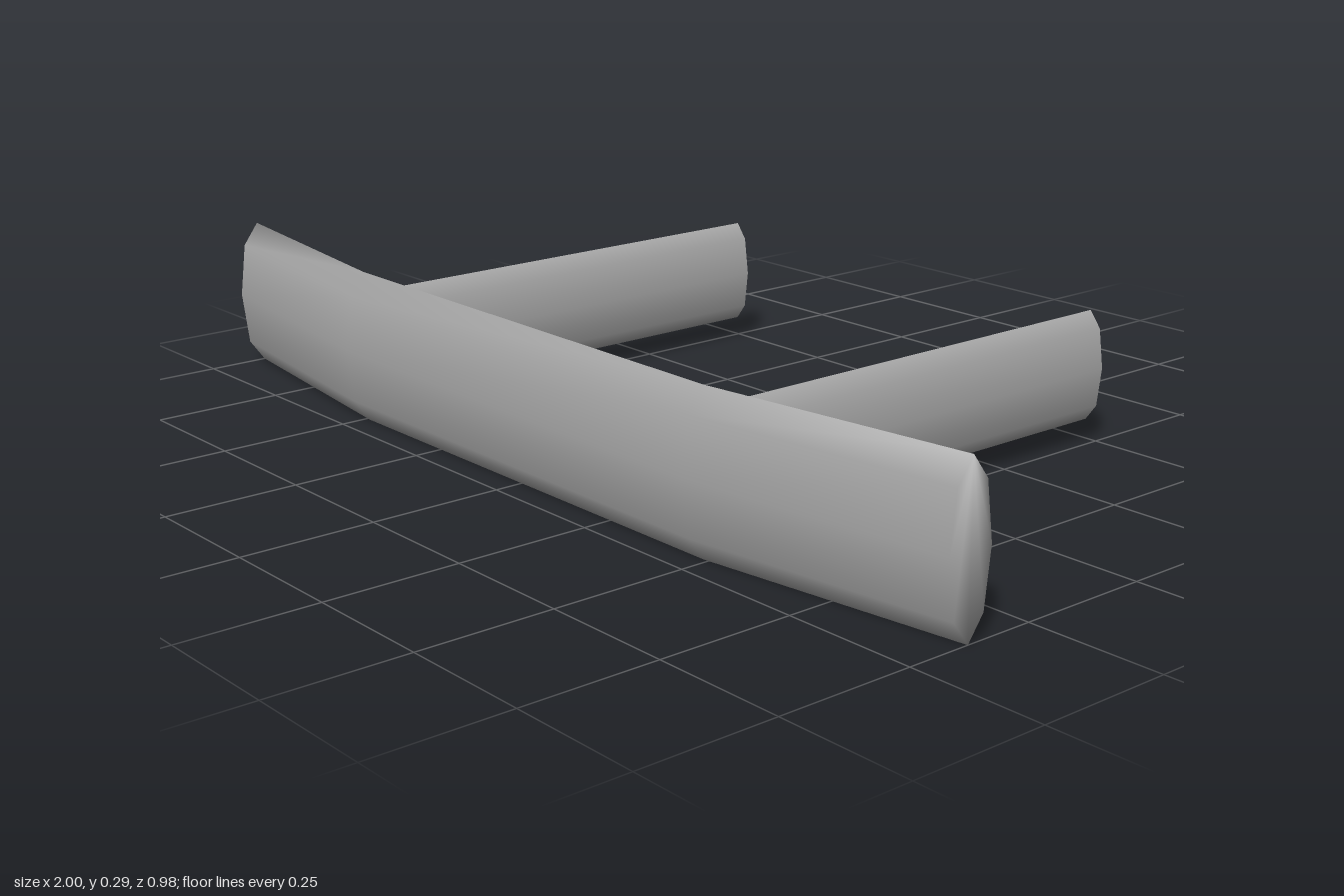
import * as THREE from 'three';

const SIDES = 8;
const MID_Y = 0.145;

// Bumper bar: elliptical rings (in y and z) swept through stations [x, z], ends closed and softly shaded
function barGeometry(stations, ry, rz) {
  const pos = [], idx = [];
  for (const [x, z] of stations) {
    for (let i = 0; i < SIDES; i++) {
      const a = (i / SIDES) * Math.PI * 2;
      pos.push(x, MID_Y + Math.cos(a) * ry, z + Math.sin(a) * rz);
    }
  }
  const last = (stations.length - 1) * SIDES;
  for (let r = 0; r < last; r += SIDES) {
    for (let i = 0; i < SIDES; i++) {
      const j = (i + 1) % SIDES;
      idx.push(r + i, r + j, r + SIDES + i, r + j, r + SIDES + j, r + SIDES + i);
    }
  }
  for (let i = 1; i < SIDES - 1; i++) {
    idx.push(0, i + 1, i, last, last + i, last + i + 1);
  }
  const g = new THREE.BufferGeometry();
  g.setAttribute('position', new THREE.Float32BufferAttribute(pos, 3));
  g.setIndex(idx);
  g.computeVertexNormals();
  return g;
}

export function createModel() {
  const group = new THREE.Group();
  group.name = 'bumper';
  const metal = new THREE.MeshStandardMaterial({ color: 0xaaaaaa, side: THREE.DoubleSide });
  metal.name = 'greyMetal';

  // Front bar with swept-back ends
  const bar = new THREE.Mesh(
    barGeometry([[-1, 0.381], [-0.49, 0.446], [0.49, 0.446], [1, 0.381]], 0.145, 0.044),
    metal
  );
  bar.name = 'frontBar';
  group.add(bar);

  // Two flattened support arms running back from the bar
  const backZ = -0.49, frontZ = 0.415;
  for (const [name, x] of [['rightArm', -0.492], ['leftArm', 0.482]]) {
    const g = new THREE.CylinderGeometry(1, 1, frontZ - backZ, SIDES);
    g.rotateX(Math.PI / 2);
    g.scale(0.033, 0.104, 1);
    const arm = new THREE.Mesh(g, metal);
    arm.position.set(x, MID_Y, (frontZ + backZ) / 2);
    arm.name = name;
    group.add(arm);
  }
  return group;
}
